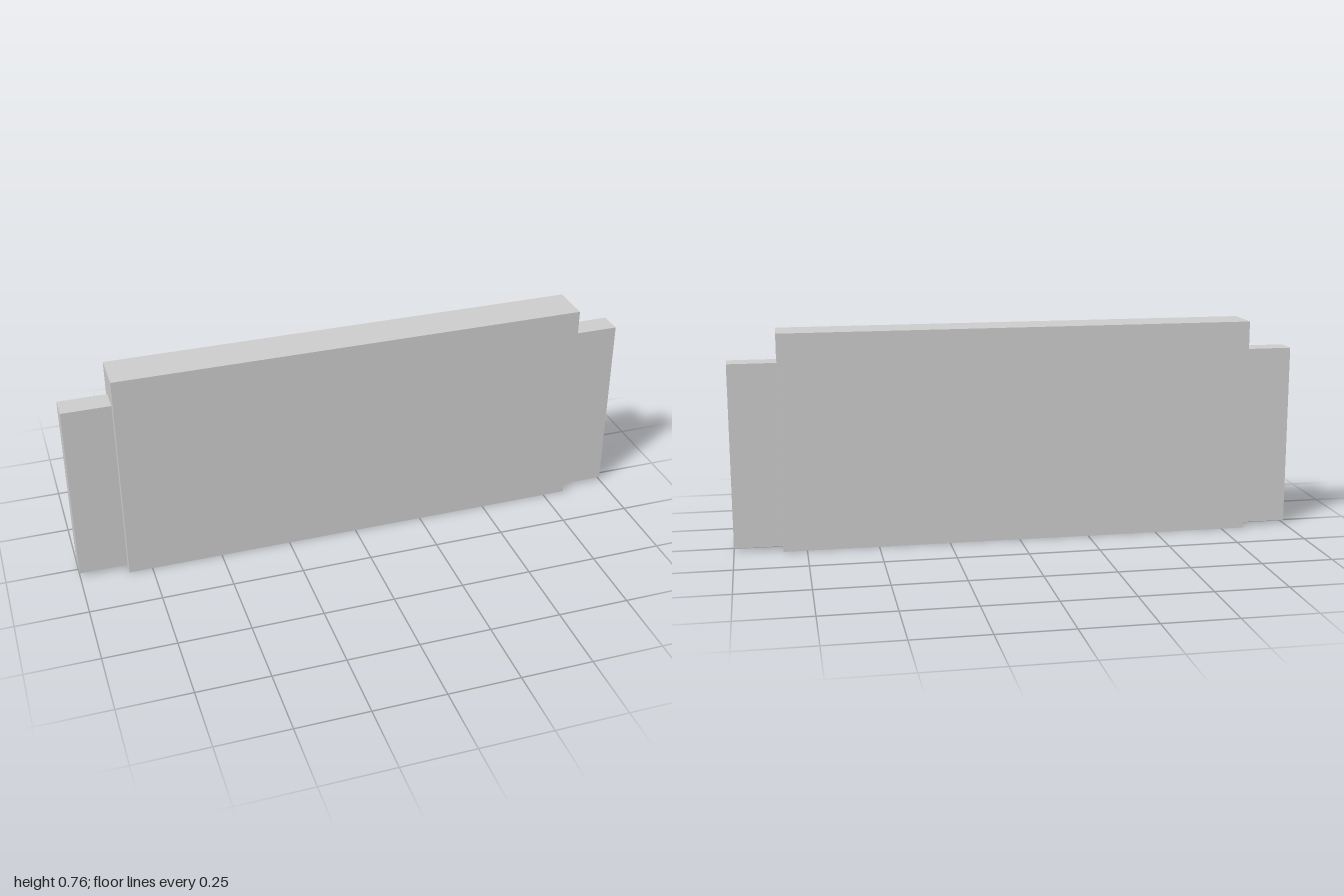
import * as THREE from 'three';

export function createModel() {
  const model = new THREE.Group();
  const material = new THREE.MeshStandardMaterial({ color: 0xcccccc, flatShading: true });

  // Box given by its centre x, bottom y and size
  function addBox(name, x, bottom, width, height, depth) {
    const mesh = new THREE.Mesh(new THREE.BoxGeometry(width, height, depth), material);
    mesh.name = name;
    mesh.position.set(x, bottom + height / 2, 0);
    model.add(mesh);
  }

  const panelHalf = 0.832;

  // Thick central panel
  addBox('panel', 0, 0, panelHalf * 2, 0.761, 0.148);

  // Thinner, slightly raised tab on each end
  const tabWidth = 1 - panelHalf;
  for (const [name, side] of [['leftTab', 1], ['rightTab', -1]]) {
    addBox(name, side * (panelHalf + tabWidth / 2), 0.011, tabWidth, 0.646, 0.083);
  }

  return model;
}
